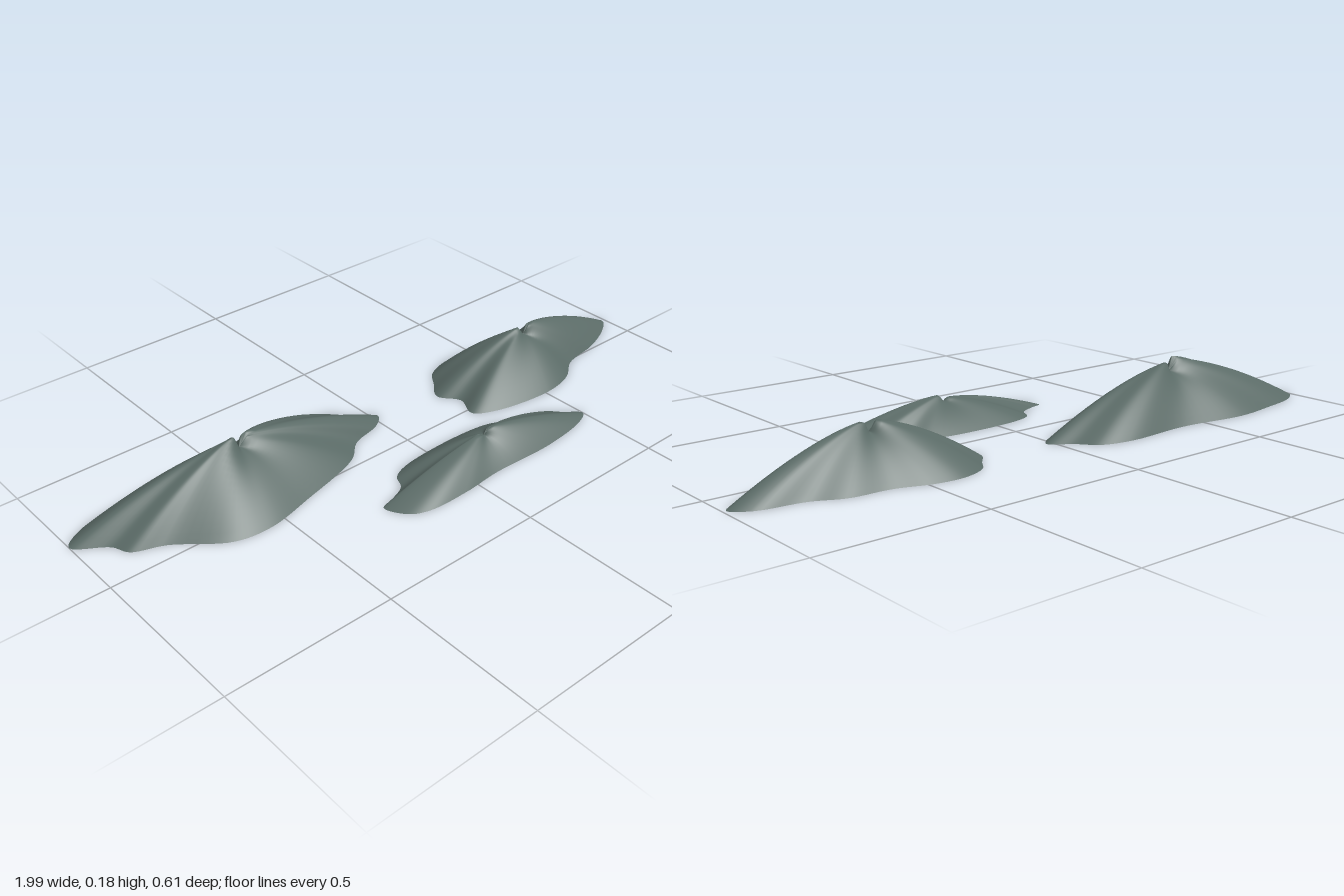
import * as THREE from 'three';

const SEGMENTS = 120;
const RINGS = 16;

// Crest height in a direction: a low saddle rising towards each ridge [dx, dz, height]
function crestHeight(dx, dz, saddle, ridges) {
  return ridges.reduce((height, [rx, rz, top]) => {
    const cos = (dx * rx + dz * rz) / (Math.hypot(dx, dz) * Math.hypot(rx, rz));
    return height + (top - saddle) * Math.pow(Math.max(0, cos), 4);
  }, saddle);
}

// Open hill shell: the shoreline shrinks ring by ring towards a notched summit
function hillGeometry([cx, cz], saddle, ridges, shore) {
  const curve = new THREE.CatmullRomCurve3(shore.map(([x, z]) => new THREE.Vector3(x, 0, z)), true);
  const outline = curve.getPoints(SEGMENTS).slice(0, SEGMENTS);
  const positions = [];
  const index = [];
  for (let r = 0; r <= RINGS; r++) {
    const t = Math.pow(r / RINGS, 1.3);
    outline.forEach((p, i) => {
      const dx = p.x - cx;
      const dz = p.z - cz;
      const crest = THREE.MathUtils.lerp(saddle, crestHeight(dx, dz, saddle, ridges), THREE.MathUtils.smoothstep(t, 0, 0.07));
      positions.push(cx + dx * t, crest * (1 - Math.pow(t, 1.55)), cz + dz * t);
      if (r === 0) return;
      const j = (i + 1) % SEGMENTS;
      const inner = (r - 1) * SEGMENTS;
      const outer = r * SEGMENTS;
      index.push(inner + i, outer + j, outer + i);
      if (r > 1) index.push(inner + i, inner + j, outer + j);
    });
  }
  const geometry = new THREE.BufferGeometry();
  geometry.setAttribute('position', new THREE.Float32BufferAttribute(positions, 3));
  geometry.setIndex(index);
  geometry.computeVertexNormals();
  return geometry;
}

export function createModel() {
  const model = new THREE.Group();
  model.name = 'hills';
  const rock = new THREE.MeshStandardMaterial({ color: 0x5a6a66, side: THREE.DoubleSide });
  rock.name = 'grey green rock';

  const addHill = (name, summit, saddle, ridges, shore) => {
    const hill = new THREE.Mesh(hillGeometry(summit, saddle, ridges, shore), rock);
    hill.name = name;
    model.add(hill);
  };

  // Shorelines run clockwise as seen from above
  addHill('leftHill', [-0.5, -0.135], 0.134, [[-0.36, 0.07, 0.18], [0.4, -0.12, 0.168]], [
    [-1, -0.21], [-0.94, -0.26], [-0.8, -0.29], [-0.65, -0.308], [-0.42, -0.28], [-0.19, -0.29],
    [-0.09, -0.265], [-0.04, -0.21], [0.02, -0.16], [-0.02, -0.12], [-0.12, -0.09], [-0.19, -0.03],
    [-0.4, 0.035], [-0.55, 0.07], [-0.66, 0.055], [-0.8, -0.05], [-0.89, -0.09], [-0.915, -0.14],
  ]);
  addHill('rightHill', [0.565, -0.08], 0.117, [[-0.31, -0.07, 0.148], [0.42, -0.03, 0.15]], [
    [0.27, -0.055], [0.23, -0.12], [0.275, -0.185], [0.31, -0.23], [0.39, -0.26], [0.48, -0.255],
    [0.59, -0.22], [0.715, -0.21], [0.805, -0.17], [0.94, -0.147], [0.99, -0.105], [0.94, -0.06],
    [0.83, -0.013], [0.7, 0.013], [0.62, 0.067], [0.51, 0.09], [0.31, 0.06], [0.245, 0.02],
  ]);
  addHill('frontHill', [0.11, 0.205], 0.072, [[-0.35, -0.02, 0.084], [0.39, 0.04, 0.094]], [
    [-0.27, 0.205], [-0.227, 0.19], [-0.17, 0.163], [-0.147, 0.12], [-0.09, 0.094], [0.147, 0.083],
    [0.243, 0.1], [0.307, 0.136], [0.414, 0.158], [0.457, 0.2], [0.5, 0.243], [0.457, 0.27],
    [0.297, 0.295], [0.083, 0.291], [-0.05, 0.302], [-0.184, 0.297], [-0.238, 0.27],
  ]);
  return model;
}
